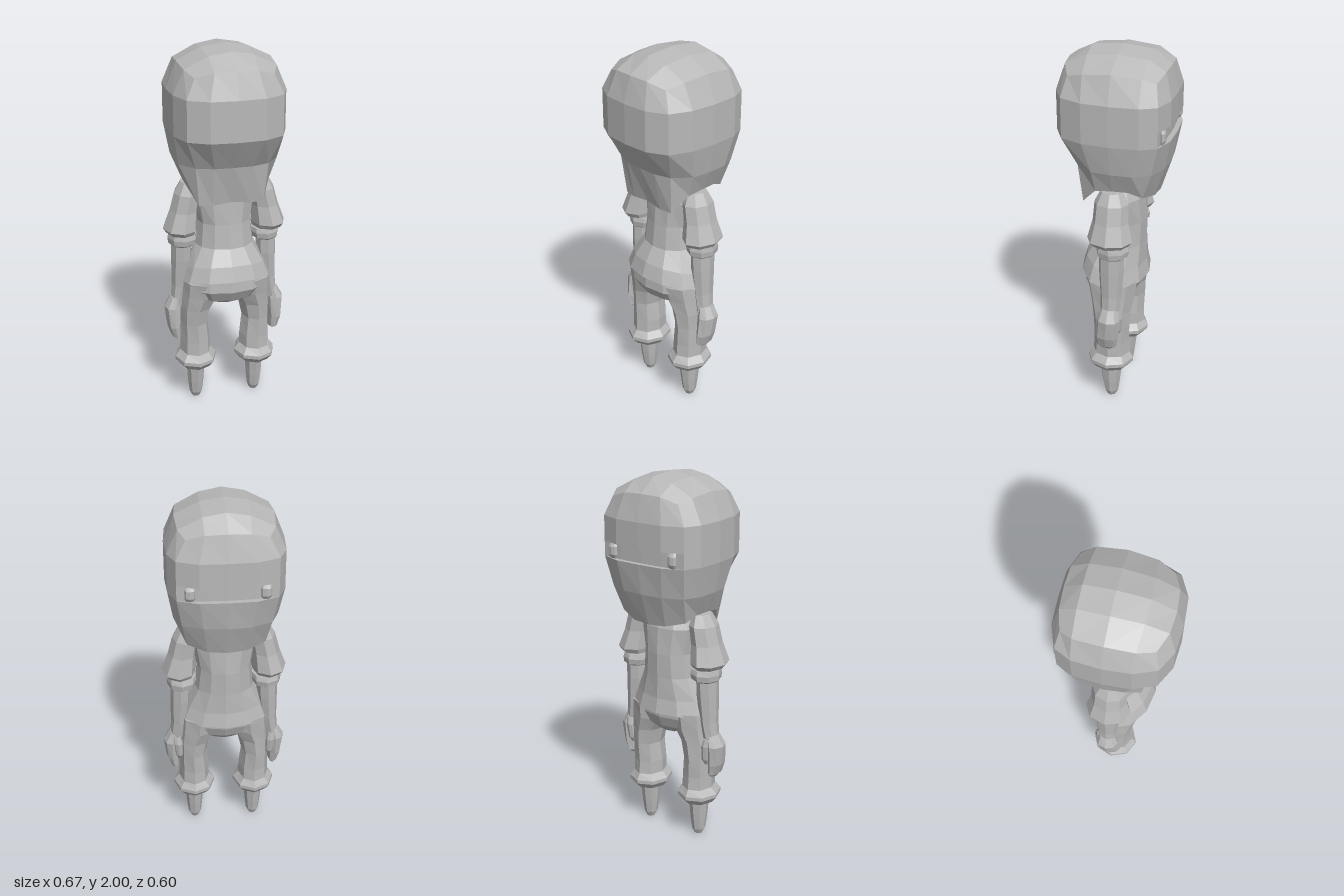
import * as THREE from 'three';

const grey = new THREE.MeshStandardMaterial({ color: 0xb8b8b8, flatShading: true });
grey.name = 'grey';

// Faceted skin over rows of points (top to bottom); keep(row, column) can leave holes
function skin(name, rows, { closed = true, capTop = closed, capBottom = closed, keep = () => true } = {}) {
  const out = [];
  const tri = (...pts) => pts.forEach((p) => out.push(...p));
  const n = rows[0].length;
  const columns = closed ? n : n - 1;
  for (let r = 0; r < rows.length - 1; r++) {
    for (let i = 0; i < columns; i++) {
      if (!keep(r, i)) continue;
      const j = (i + 1) % n;
      tri(rows[r][i], rows[r + 1][i], rows[r + 1][j]);
      tri(rows[r][i], rows[r + 1][j], rows[r][j]);
    }
  }
  const cap = (row, up) => {
    const mid = [0, 1, 2].map((k) => row.reduce((sum, p) => sum + p[k], 0) / n);
    row.forEach((p, i) => {
      const q = row[(i + 1) % n];
      if (up) tri(mid, p, q);
      else tri(mid, q, p);
    });
  };
  if (capTop) cap(rows[0], true);
  if (capBottom) cap(rows[rows.length - 1], false);
  const geometry = new THREE.BufferGeometry();
  geometry.setAttribute('position', new THREE.Float32BufferAttribute(out, 3));
  geometry.computeVertexNormals();
  const mesh = new THREE.Mesh(geometry, grey);
  mesh.name = name;
  return mesh;
}

// Oval cross-section: height, centre x, half width, front z, back z, lift at front
function oval([y, cx, rx, zf, zb, lift = 0], n, side = 1) {
  return Array.from({ length: n }, (_, i) => {
    const t = (i / n) * Math.PI * 2;
    const c = Math.cos(t);
    return [cx * side + rx * Math.sin(t), y + lift * Math.max(0, c), (zf + zb) / 2 + ((zf - zb) / 2) * c];
  });
}
const loft = (name, sections, n = 8, side = 1) => skin(name, sections.map((s) => oval(s, n, side)));

// Completes a half ring (front centre, round +x, to back centre)
const ring = (half) => [...half, ...half.slice(1, -1).reverse().map(([x, y, z]) => [-x, y, z])];
const level = (half, y) => ring(half.map(([x, z]) => [x, y, z]));

function buildHead() {
  const head = new THREE.Group();
  head.name = 'head';
  // crown patch, rows from back to front, centre to side
  const crown = [
    [[0, 1.915, -0.265], [0.11, 1.91, -0.26], [0.2, 1.88, -0.235]],
    [[0, 1.985, -0.175], [0.115, 1.965, -0.175], [0.235, 1.905, -0.17]],
    [[0, 2, -0.02], [0.12, 1.98, -0.02], [0.245, 1.92, -0.02]],
    [[0, 1.985, 0.14], [0.115, 1.965, 0.135], [0.235, 1.905, 0.125]],
    [[0, 1.915, 0.26], [0.11, 1.91, 0.25], [0.2, 1.88, 0.21]],
  ];
  const mirrored = crown.map((row) => [...row.slice(1).reverse().map(([x, y, z]) => [-x, y, z]), ...row]);
  head.add(skin('crown', mirrored, { closed: false }));

  const crownEdge = ring([...crown[4], crown[3][2], crown[2][2], crown[1][2], ...crown[0].slice().reverse()]);
  const widest = [[0, 0.3], [0.14, 0.29], [0.245, 0.235], [0.29, 0.12], [0.3, -0.02],
    [0.29, -0.17], [0.25, -0.255], [0.14, -0.295], [0, -0.3]];
  const jaw = [[0, 0.205], [0.1, 0.2], [0.19, 0.17], [0.26, 0.08], [0.27, -0.02],
    [0.265, -0.13], [0.225, -0.22], [0.12, -0.265], [0, -0.275]];
  const hem = ring([[0, 1.21, 0.155], [0.1, 1.2, 0.16], [0.17, 1.2, 0.15], [0.22, 1.29, 0.07], [0.225, 1.3, -0.02],
    [0.22, 1.3, -0.1], [0.2, 1.27, -0.17], [0.1, 1.245, -0.21], [0, 1.24, -0.22]]);
  const underside = hem.map(([x, , z]) => [x * 0.75, 1.31, z * 0.7]);
  const slotTop = level(widest, 1.65);
  const slotBottom = level(widest, 1.57);
  const inSlot = (i) => i >= 6 && i <= 9;
  head.add(skin('hood', [crownEdge, level(widest, 1.78), slotTop, slotBottom, level(jaw, 1.41), hem, underside],
    { capTop: false, keep: (r, i) => r !== 2 || !inSlot(i) }));

  // recessed visor slot, tapering out at its corners
  const recess = (row) => row.map(([x, y, z], i) => (i > 6 && i < 10 ? [x * 0.94, y, z * 0.91] : [x, y, z]));
  head.add(skin('visorSlot', [slotTop, recess(slotTop), recess(slotBottom), slotBottom],
    { capTop: false, capBottom: false, keep: (r, i) => inSlot(i) }));
  for (const side of [1, -1]) {
    head.add(loft('eye', [[1.65, 0.185, 0.02, -0.25, -0.272], [1.63, 0.185, 0.027, -0.25, -0.284],
      [1.59, 0.185, 0.027, -0.25, -0.284], [1.57, 0.185, 0.02, -0.25, -0.272]], 8, side));
  }
  return head;
}

function buildArm(side) {
  const arm = new THREE.Group();
  arm.name = side > 0 ? 'leftArm' : 'rightArm';
  const add = (name, sections) => arm.add(loft(name, sections, 8, side));
  add('sleeve', [[1.285, 0.19, 0.045, 0.05, -0.07], [1.225, 0.2, 0.07, 0.08, -0.1], [1.13, 0.22, 0.075, 0.085, -0.105],
    [1.03, 0.24, 0.092, 0.11, -0.13], [1.005, 0.235, 0.08, 0.09, -0.11]]);
  add('armBand', [[0.995, 0.225, 0.078, 0.06, -0.1], [0.97, 0.225, 0.082, 0.067, -0.11],
    [0.94, 0.227, 0.076, 0.062, -0.105], [0.93, 0.23, 0.06, 0.05, -0.09]]);
  add('forearm', [[1.02, 0.23, 0.055, 0.05, -0.09], [0.85, 0.235, 0.055, 0.05, -0.085],
    [0.7, 0.245, 0.045, 0.04, -0.075], [0.58, 0.265, 0.035, 0.035, -0.065]]);
  add('hand', [[0.63, 0.27, 0.03, 0.03, -0.06], [0.57, 0.287, 0.047, 0.05, -0.075], [0.46, 0.285, 0.036, 0.062, -0.065],
    [0.4, 0.275, 0.025, 0.055, -0.055], [0.385, 0.272, 0.015, 0.025, -0.035]]);
  add('thumb', [[0.61, 0.26, 0.02, -0.04, -0.075], [0.57, 0.255, 0.026, -0.03, -0.085],
    [0.49, 0.25, 0.022, -0.025, -0.075], [0.46, 0.25, 0.01, -0.03, -0.055]]);
  return arm;
}

function buildLeg(side) {
  const leg = new THREE.Group();
  leg.name = side > 0 ? 'leftLeg' : 'rightLeg';
  const add = (name, sections) => leg.add(loft(name, sections, 8, side));
  add('trouserLeg', [[0.74, 0.135, 0.11, 0.15, -0.13], [0.65, 0.14, 0.11, 0.13, -0.12], [0.57, 0.165, 0.087, 0.11, -0.105],
    [0.48, 0.173, 0.075, 0.1, -0.1], [0.37, 0.168, 0.083, 0.1, -0.095], [0.29, 0.168, 0.083, 0.105, -0.1]]);
  add('cuff', [[0.3, 0.168, 0.085, 0.105, -0.1], [0.265, 0.168, 0.114, 0.132, -0.12],
    [0.245, 0.168, 0.114, 0.132, -0.12], [0.21, 0.168, 0.085, 0.1, -0.09]]);
  add('foot', [[0.23, 0.168, 0.053, 0.072, -0.06], [0.1, 0.168, 0.044, 0.055, -0.045],
    [0.03, 0.168, 0.036, 0.043, -0.035], [0, 0.168, 0.022, 0.025, -0.02]]);
  return leg;
}

export function createModel() {
  const model = new THREE.Group();
  model.name = 'hoodedFigure';
  model.add(buildHead());
  // neck and shirt with a hem raised at the front
  model.add(loft('neck', [[1.36, 0, 0.08, 0.06, -0.09], [1.24, 0, 0.1, 0.07, -0.11]]));
  model.add(loft('shirt', [[1.285, 0, 0.13, 0.07, -0.11], [1.2, 0, 0.17, 0.1, -0.14], [1.06, 0, 0.145, 0.11, -0.15],
    [0.93, 0, 0.16, 0.125, -0.148], [0.81, 0, 0.22, 0.175, -0.15, 0.04], [0.73, 0, 0.252, 0.2, -0.165, 0.04]], 12));
  model.add(loft('hips', [[0.78, 0, 0.22, 0.175, -0.14], [0.7, 0, 0.235, 0.18, -0.135],
    [0.64, 0, 0.19, 0.145, -0.11], [0.6, 0, 0.09, 0.08, -0.07]], 12));
  for (const side of [1, -1]) model.add(buildArm(side), buildLeg(side));
  return model;
}
